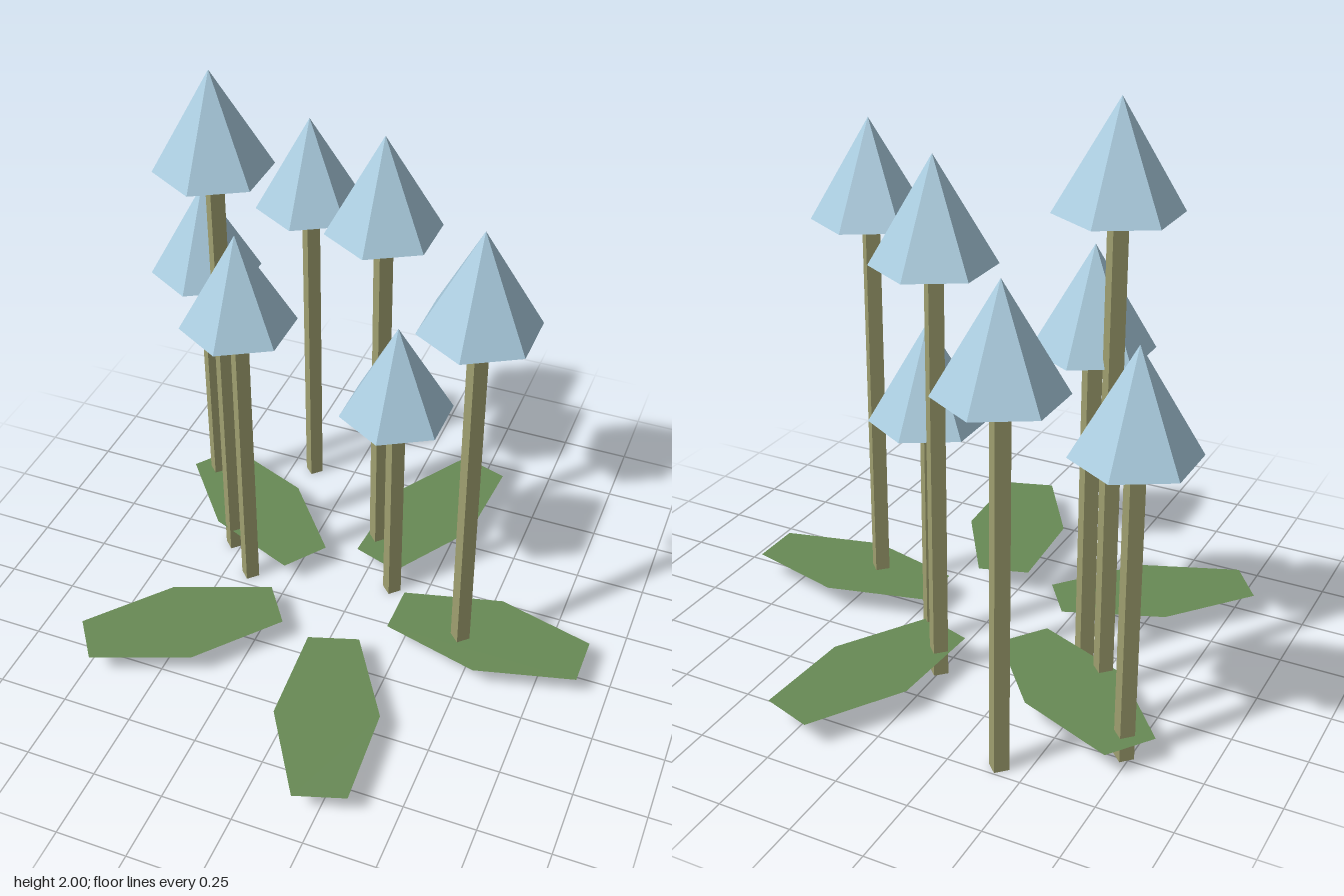
import * as THREE from 'three';

export function createModel() {
  const model = new THREE.Group();
  model.name = 'flowerCluster';

  const petalBlue = new THREE.MeshStandardMaterial({ color: 0xaaccdf, flatShading: true });
  petalBlue.name = 'petal blue';
  const stemOlive = new THREE.MeshStandardMaterial({ color: 0xa0a070, flatShading: true });
  stemOlive.name = 'stem olive';
  const leafGreen = new THREE.MeshStandardMaterial({ color: 0x688a55, flatShading: true, side: THREE.DoubleSide });
  leafGreen.name = 'leaf green';

  // Flowers: x, z and height of the tip
  const bloomHeight = 0.345;
  const flowers = [
    [-0.53, -0.19, 2.0],
    [-0.41, -0.71, 1.6],
    [-0.405, -0.06, 1.5],
    [-0.73, -0.485, 1.385],
    [0.005, -0.34, 1.8],
    [0.12, -0.18, 1.19],
    [0.457, 0.04, 1.77],
  ];
  const bloomGeometry = new THREE.ConeGeometry(0.2, bloomHeight, 6);
  for (const [x, z, tip] of flowers) {
    const flower = new THREE.Group();
    flower.name = 'flower';
    flower.position.set(x, 0, z);

    // Square stem, corners facing the axes
    const stemHeight = tip - bloomHeight;
    const stem = new THREE.Mesh(new THREE.CylinderGeometry(0.035, 0.035, stemHeight, 4), stemOlive);
    stem.name = 'stem';
    stem.position.y = stemHeight / 2;

    // Six-sided bell
    const bloom = new THREE.Mesh(bloomGeometry, petalBlue);
    bloom.name = 'bloom';
    bloom.position.y = tip - bloomHeight / 2;

    flower.add(stem, bloom);
    model.add(flower);
  }

  // Flat six-cornered leaves in a ring
  const outline = [[0.227, -0.091], [0.575, -0.18], [0.922, -0.091], [0.922, 0.091], [0.575, 0.18], [0.227, 0.091]];
  const leafShape = new THREE.Shape(outline.map(([x, y]) => new THREE.Vector2(x, y)));
  const leafGeometry = new THREE.ShapeGeometry(leafShape).rotateX(-Math.PI / 2);
  const leaves = new THREE.Group();
  leaves.name = 'leaves';
  leaves.position.set(-0.027, 0.087, 0);
  for (let i = 0; i < 5; i++) {
    const leaf = new THREE.Mesh(leafGeometry, leafGreen);
    leaf.name = 'leaf';
    leaf.rotation.y = (i * Math.PI * 2) / 5;
    leaves.add(leaf);
  }
  model.add(leaves);

  return model;
}
